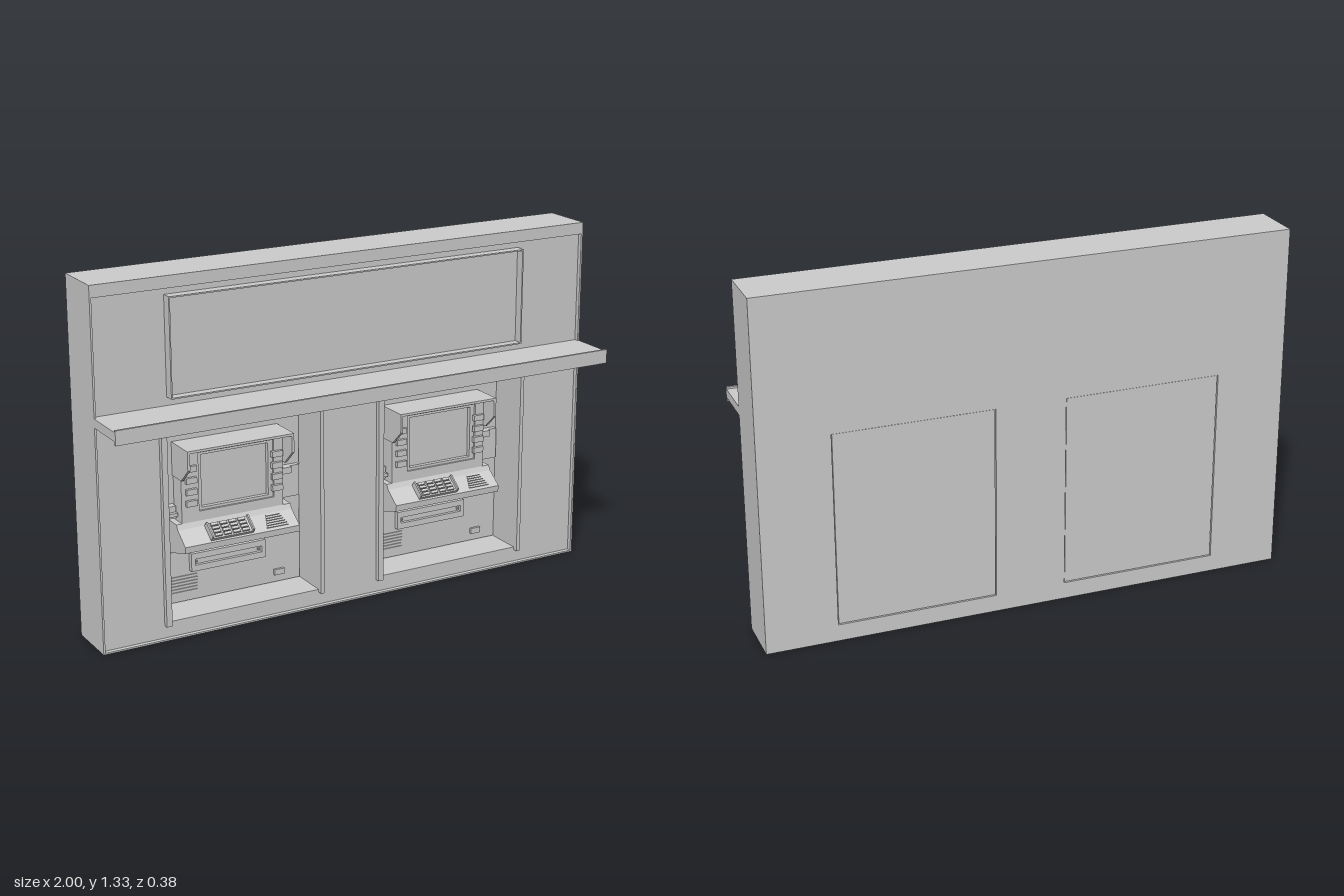
import * as THREE from 'three';

const grey = new THREE.MeshStandardMaterial({ color: 0xcccccc });
grey.name = 'light grey';

const add = (parent, name, geo) => {
  const m = new THREE.Mesh(geo, grey);
  m.name = name;
  parent.add(m);
  return m;
};

// box given by its limits on each axis
const box = (parent, name, x0, x1, y0, y1, z0, z1) => {
  const m = add(parent, name, new THREE.BoxGeometry(x1 - x0, y1 - y0, z1 - z0));
  m.position.set((x0 + x1) / 2, (y0 + y1) / 2, (z0 + z1) / 2);
  return m;
};

const rect = (Type, x0, x1, y0, y1) => {
  const s = new Type();
  s.moveTo(x0, y0);
  s.lineTo(x1, y0);
  s.lineTo(x1, y1);
  s.lineTo(x0, y1);
  s.closePath();
  return s;
};

// rectangular slab with rectangular holes, limits are [x0, x1, y0, y1]
const slab = (parent, name, outer, holes, z0, z1) => {
  const s = rect(THREE.Shape, ...outer);
  holes.forEach(h => s.holes.push(rect(THREE.Path, ...h)));
  const g = new THREE.ExtrudeGeometry(s, { depth: z1 - z0, bevelEnabled: false });
  return add(parent, name, g.translate(0, 0, z0));
};

// side profile of [z, y] points, extruded from x0 to x1
const profile = (parent, name, pts, x0, x1) => {
  const s = new THREE.Shape(pts.map(p => new THREE.Vector2(...p)));
  const g = new THREE.ExtrudeGeometry(s, { depth: x1 - x0, bevelEnabled: false });
  return add(parent, name, g.rotateY(-Math.PI / 2).translate(x1, 0, 0));
};

const PITCH = 0.868;
const FACE = -0.145;

function createMachine() {
  const g = new THREE.Group();
  g.name = 'cashMachine';

  // body filling the back of the bay
  box(g, 'machineBody', -0.732, -0.137, 0.067, 0.798, -0.187, FACE);

  // trim around the bay opening
  box(g, 'leftTrim', -0.757, -0.735, 0.053, 0.812, -0.006, 0.015);
  box(g, 'rightTrim', -0.134, -0.119, 0.053, 0.812, -0.006, 0.015);
  box(g, 'topTrim', -0.735, -0.134, 0.8, 0.812, -0.006, 0.015);

  // screen surround, bezel and recessed screen
  slab(g, 'screenSurround', [-0.644, -0.238, 0.39, 0.672], [[-0.575, -0.275, 0.428, 0.647]], FACE, -0.08);
  slab(g, 'screenBezel', [-0.575, -0.275, 0.428, 0.647], [[-0.561, -0.294, 0.438, 0.636]], FACE, -0.088);
  box(g, 'screen', -0.565, -0.29, 0.434, 0.64, FACE, -0.105);
  for (let i = 0; i < 4; i++) {
    const y = 0.594 - i * 0.043;
    box(g, 'leftScreenButton', -0.628, -0.586, y - 0.011, y + 0.011, -0.082, -0.068);
    box(g, 'rightScreenButton', -0.286, -0.243, y - 0.011, y + 0.011, -0.082, -0.068);
  }

  // privacy hood
  const cheek = [[FACE, 0.556], [-0.07, 0.556], [-0.012, 0.61], [-0.012, 0.682], [FACE, 0.682]];
  profile(g, 'hoodLeft', cheek, -0.648, -0.638);
  profile(g, 'hoodRight', cheek, -0.236, -0.226);
  box(g, 'hoodTop', -0.638, -0.236, 0.673, 0.682, FACE, -0.012);

  // ribs above the hood
  for (const y of [0.786, 0.716]) box(g, 'upperRib', -0.51, -0.36, y - 0.002, y + 0.002, FACE, -0.139);

  // card reader and receipt unit
  box(g, 'cardReader', -0.725, -0.65, 0.404, 0.45, FACE, -0.115);
  box(g, 'cardReaderLip', -0.725, -0.65, 0.415, 0.428, -0.116, -0.1);
  box(g, 'receiptUnit', -0.22, -0.147, 0.4, 0.519, FACE, -0.125);
  box(g, 'receiptLip', -0.22, -0.185, 0.495, 0.519, -0.126, -0.112);

  // sloping shelf
  profile(g, 'shelf', [[FACE, 0.265], [-0.012, 0.305], [-0.01, 0.329], [-0.07, 0.374],
    [-0.08, 0.392], [FACE, 0.392]], -0.666, -0.208);
  const deck = new THREE.Group();
  deck.name = 'deck';
  deck.position.set(0, 0.3515, -0.04);
  deck.rotation.x = Math.atan2(0.045, 0.06);
  g.add(deck);

  // keypad with side guards
  box(deck, 'keypadBase', -0.558, -0.397, -0.004, 0.012, -0.036, 0.03);
  for (const x of [-0.562, -0.399]) box(deck, 'keypadGuard', x, x + 0.006, -0.004, 0.024, -0.036, 0.03);
  for (let r = 0; r < 4; r++) for (let c = 0; c < 4; c++) {
    const x = -0.546 + c * 0.036, z = -0.032 + r * 0.0152;
    box(deck, 'key', x, x + 0.028, 0.01, 0.019, z, z + 0.011);
  }

  // slats beside the keypad
  for (let i = 0; i < 6; i++) {
    const w = 0.028 + i * 0.003, z = -0.03 + i * 0.01;
    box(deck, 'slat', -0.292 - w, -0.292 + w, -0.002, 0.004, z, z + 0.005);
  }

  // cash dispenser with slot
  slab(g, 'dispenserFrame', [-0.59, -0.29, 0.182, 0.251], [[-0.575, -0.305, 0.205, 0.228]], FACE, -0.125);
  box(g, 'dispenserShutter', -0.575, -0.305, 0.205, 0.228, FACE, -0.138);
  for (const x of [-0.568, -0.318]) box(g, 'dispenserStud', x, x + 0.006, 0.213, 0.219, -0.14, -0.13);

  // lower grille and lock plate
  for (let i = 0; i < 6; i++) {
    const y = 0.1 + i * 0.012;
    box(g, 'grilleBar', -0.69, -0.56, y, y + 0.006, FACE, -0.141);
  }
  box(g, 'lockPlate', -0.247, -0.206, 0.096, 0.118, FACE, -0.135);
  return g;
}

export function createModel() {
  const model = new THREE.Group();
  model.name = 'cashMachineWall';

  // wall with two bays and a raised rim
  const bays = [0, PITCH].map(d => [-0.735 + d, -0.134 + d, 0.064, 0.8]);
  slab(model, 'wall', [-1, 1, 0, 1.325], bays, -0.19, -0.004);
  slab(model, 'wallRim', [-1, 1, 0, 1.325], [[-0.993, 0.993, 0.006, 1.281]], -0.004, 0.013);

  // sign frame and its recessed panel
  slab(model, 'signFrame', [-0.724, 0.717, 0.896, 1.257], [[-0.719, 0.712, 0.901, 1.252]], -0.004, 0.035);
  box(model, 'signPanel', -0.719, 0.712, 0.901, 1.252, -0.004, 0.001);

  // canopy with front lip and light strip
  box(model, 'canopy', -1, 1, 0.832, 0.865, -0.004, 0.182);
  box(model, 'canopyLip', -1, 1, 0.819, 0.872, 0.18, 0.19);
  box(model, 'canopyLight', -0.98, 0.98, 0.823, 0.833, 0.07, 0.103);

  // two machines
  for (const d of [0, PITCH]) {
    const m = createMachine();
    m.position.x = d;
    model.add(m);
  }
  return model;
}
